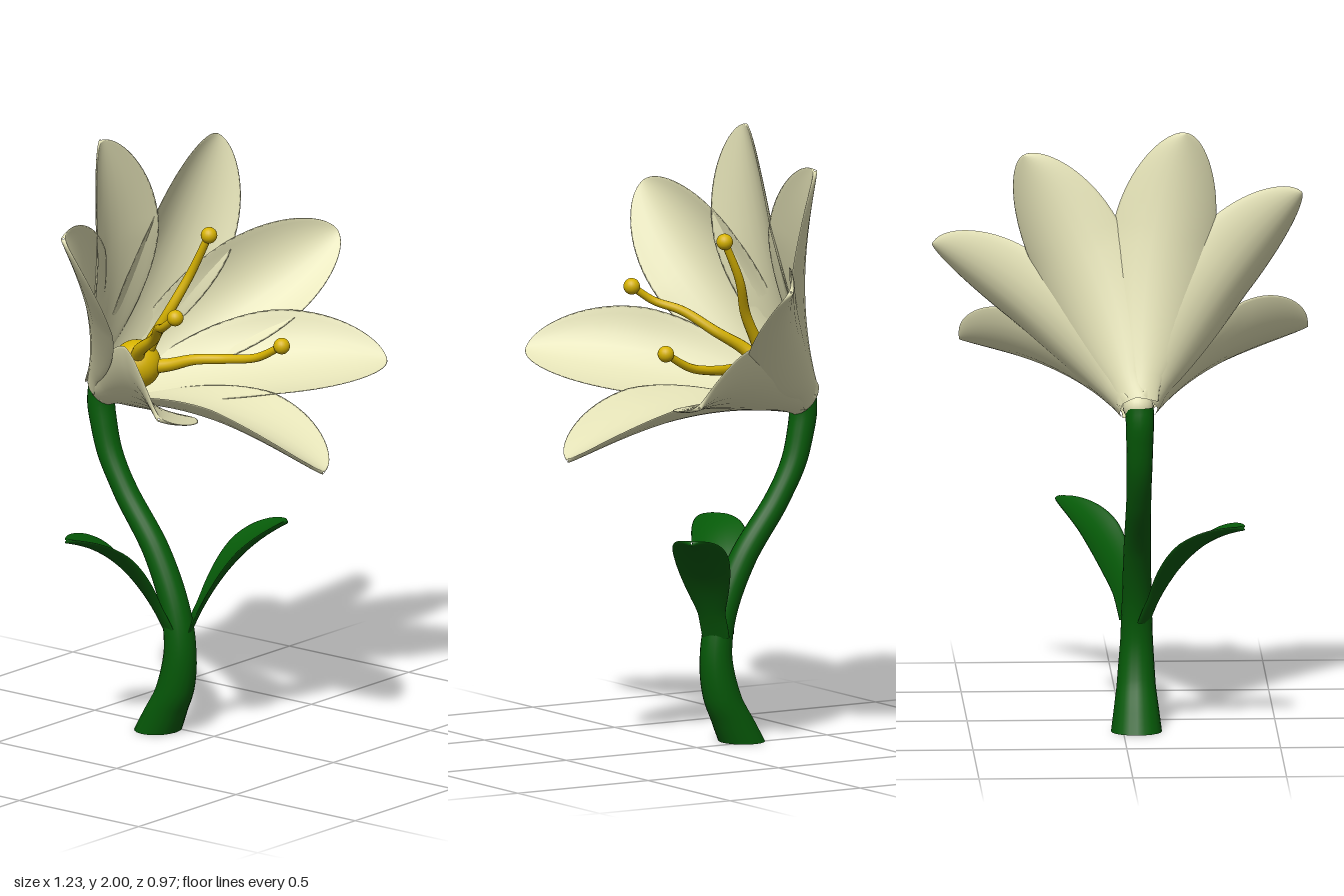
import * as THREE from 'three';

const V = (x, y, z) => new THREE.Vector3(x, y, z);
const petalMat = new THREE.MeshStandardMaterial({ color: 0xe3e1b6 });
const greenMat = new THREE.MeshStandardMaterial({ color: 0x065a08 });
const yellowMat = new THREE.MeshStandardMaterial({ color: 0xd6b200 });

function addMesh(parent, name, geometry, material) {
  const mesh = new THREE.Mesh(geometry, material);
  mesh.name = name;
  parent.add(mesh);
  return mesh;
}

// Thin cupped blade swept along a curve; its hollow side faces `inward`
function blade(base, ctrl, tip, inward, { width, root, cup, thick }) {
  const curve = new THREE.QuadraticBezierCurve3(base, ctrl, tip);
  const side = tip.clone().sub(base).cross(inward).normalize();
  const rows = 32, cols = 24, pos = [], index = [];
  for (let i = 0; i <= rows; i++) {
    const t = Math.sin((i / rows) * Math.PI / 2);
    const p = curve.getPoint(t);
    const n = side.clone().cross(curve.getTangent(t)).normalize();
    const bulge = Math.pow(Math.max(0, Math.sin(Math.PI * Math.pow(t, 1.3))), 0.56);
    const w = Math.max(0.003, width * (t < 0.5 ? Math.max(root, bulge) : bulge));
    const depth = cup * Math.min(1, 0.35 + 1.1 * t) * (1 - 0.3 * t) * w;
    for (let j = 0; j < cols; j++) {
      const a = (j / cols) * Math.PI * 2, s = -Math.cos(a);
      const lift = depth * s * s + Math.min(thick, w) * Math.sin(a);
      const q = p.clone().addScaledVector(side, w * s).addScaledVector(n, lift);
      pos.push(q.x, q.y, q.z);
      if (i < rows) {
        const k = (j + 1) % cols, r = i * cols, u = r + cols;
        index.push(r + j, r + k, u + k, r + j, u + k, u + j);
      }
    }
  }
  const g = new THREE.BufferGeometry();
  g.setAttribute('position', new THREE.Float32BufferAttribute(pos, 3));
  g.setIndex(index);
  g.computeVertexNormals();
  return g;
}

// Tube whose radius follows a list of values; the first `level` rings ease out of the horizontal
function taperedTube(points, radii, segments, sides, level = 0) {
  const path = new THREE.CatmullRomCurve3(points.map(p => V(...p)));
  const g = new THREE.TubeGeometry(path, segments, 1, sides);
  const pos = g.attributes.position, v = V(0, 0, 0);
  for (let i = 0; i <= segments; i++) {
    const c = path.getPointAt(i / segments);
    const f = (i / segments) * (radii.length - 1);
    const k = Math.min(Math.floor(f), radii.length - 2);
    const r = THREE.MathUtils.lerp(radii[k], radii[k + 1], f - k);
    const flat = i < level ? 1 - i / level : 0;
    for (let j = 0; j <= sides; j++) {
      const id = i * (sides + 1) + j;
      v.fromBufferAttribute(pos, id).sub(c).multiplyScalar(r).add(c);
      pos.setXYZ(id, v.x, THREE.MathUtils.lerp(v.y, c.y, flat), v.z);
    }
  }
  return g;
}

export function createModel() {
  const model = new THREE.Group();

  // Stem, cut flat at the ground
  const stem = new THREE.Group();
  stem.name = 'stem';
  model.add(stem);
  addMesh(stem, 'stemTube', taperedTube([
    [-0.043, 0, -0.2], [-0.044, 0.07, -0.165], [-0.045, 0.15, -0.126], [-0.047, 0.28, -0.104], [-0.047, 0.42, -0.125],
    [-0.045, 0.6, -0.205], [-0.045, 0.78, -0.335], [-0.045, 0.9, -0.4], [-0.045, 1.0, -0.427],
    [-0.045, 1.065, -0.437], [-0.043, 1.115, -0.432],
  ], [0.083, 0.064, 0.053, 0.048, 0.045, 0.042, 0.04, 0.043, 0.047], 56, 20, 12), greenMat);
  const foot = addMesh(stem, 'stemBase', new THREE.CircleGeometry(0.083, 20), greenMat);
  foot.rotation.x = Math.PI / 2;
  foot.scale.y = 0.9;
  foot.position.set(-0.043, 0, -0.2);

  // Two leaves clasping the stem and curling outward
  const leafShape = { width: 0.092, root: 0.5, cup: 0.42, thick: 0.008 };
  [
    ['rightLeaf', V(-0.075, 0.35, -0.135), V(-0.18, 0.645, -0.22), V(-0.39, 0.69, -0.305)],
    ['leftLeaf', V(-0.02, 0.35, -0.085), V(0.045, 0.635, 0.015), V(0.2, 0.71, 0.145)],
  ].forEach(([name, base, ctrl, tip]) => {
    const inward = V(base.x - tip.x, 0.25, base.z - tip.z);
    addMesh(model, name, blade(base, ctrl, tip, inward, leafShape), greenMat);
  });

  // Seven petals around a tilted axis
  const heart = V(-0.04, 1.11, -0.437);
  const axis = V(0.05, 0.6, 0.8).normalize();
  const petals = new THREE.Group();
  petals.name = 'petals';
  model.add(petals);
  // tip position, inward bow at mid length, sideways turn of the hollow
  [
    [V(-0.2, 2.0, -0.31), 0.045, -0.25], [V(0.325, 1.92, -0.25), 0.045, 0], [V(0.61, 1.58, 0.02), 0.04, 0],
    [V(0.51, 1.21, 0.31), 0.05, 0], [V(-0.025, 0.98, 0.48), 0.07, 0], [V(-0.615, 1.25, 0.27), 0.05, 0],
    [V(-0.58, 1.775, -0.16), 0.04, 0],
  ].forEach(([tip, bow, turn], i) => {
    const out = tip.clone().sub(heart);
    out.addScaledVector(axis, -out.dot(axis)).normalize();
    const base = heart.clone().addScaledVector(out, 0.052);
    const ctrl = base.clone().lerp(tip, 0.5).addScaledVector(out, -1.5 * bow).addScaledVector(axis, 1.4 * bow);
    const inward = axis.clone().sub(out);
    inward.x += turn;
    addMesh(petals, 'petal' + (i + 1),
      blade(base, ctrl, tip, inward, { width: 0.168, root: 0.3, cup: 0.55, thick: 0.008 }), petalMat);
  });
  // Closed bottom of the flower cup
  addMesh(petals, 'cupBottom', new THREE.SphereGeometry(0.05, 20, 14), petalMat)
    .position.copy(heart).addScaledVector(axis, 0.015);

  // Yellow bulb in the throat
  const bulb = addMesh(model, 'bulb', new THREE.SphereGeometry(0.08, 32, 20), yellowMat);
  bulb.position.set(-0.03, 1.21, -0.3);

  // Curved stamens with round tips
  [
    [[-0.04, 1.21, -0.29], [-0.085, 1.275, -0.245], [-0.125, 1.34, -0.15], [-0.2, 1.405, -0.07], [-0.262, 1.435, 0], [-0.285, 1.485, 0.07]],
    [[-0.025, 1.2, -0.29], [-0.015, 1.29, -0.25], [0.005, 1.41, -0.185], [0.048, 1.53, -0.135], [0.06, 1.665, -0.07]],
    [[-0.02, 1.2, -0.28], [0.015, 1.215, -0.2], [0.045, 1.24, -0.12], [0.09, 1.25, -0.02], [0.108, 1.27, 0.09], [0.115, 1.325, 0.19]],
  ].forEach((path, i) => {
    const stamen = new THREE.Group();
    stamen.name = 'stamen' + (i + 1);
    model.add(stamen);
    addMesh(stamen, 'filament', taperedTube(path, [0.026, 0.018, 0.015, 0.012], 32, 12), yellowMat);
    addMesh(stamen, 'anther', new THREE.SphereGeometry(0.027, 20, 14), yellowMat).position.set(...path.at(-1));
  });

  return model;
}
